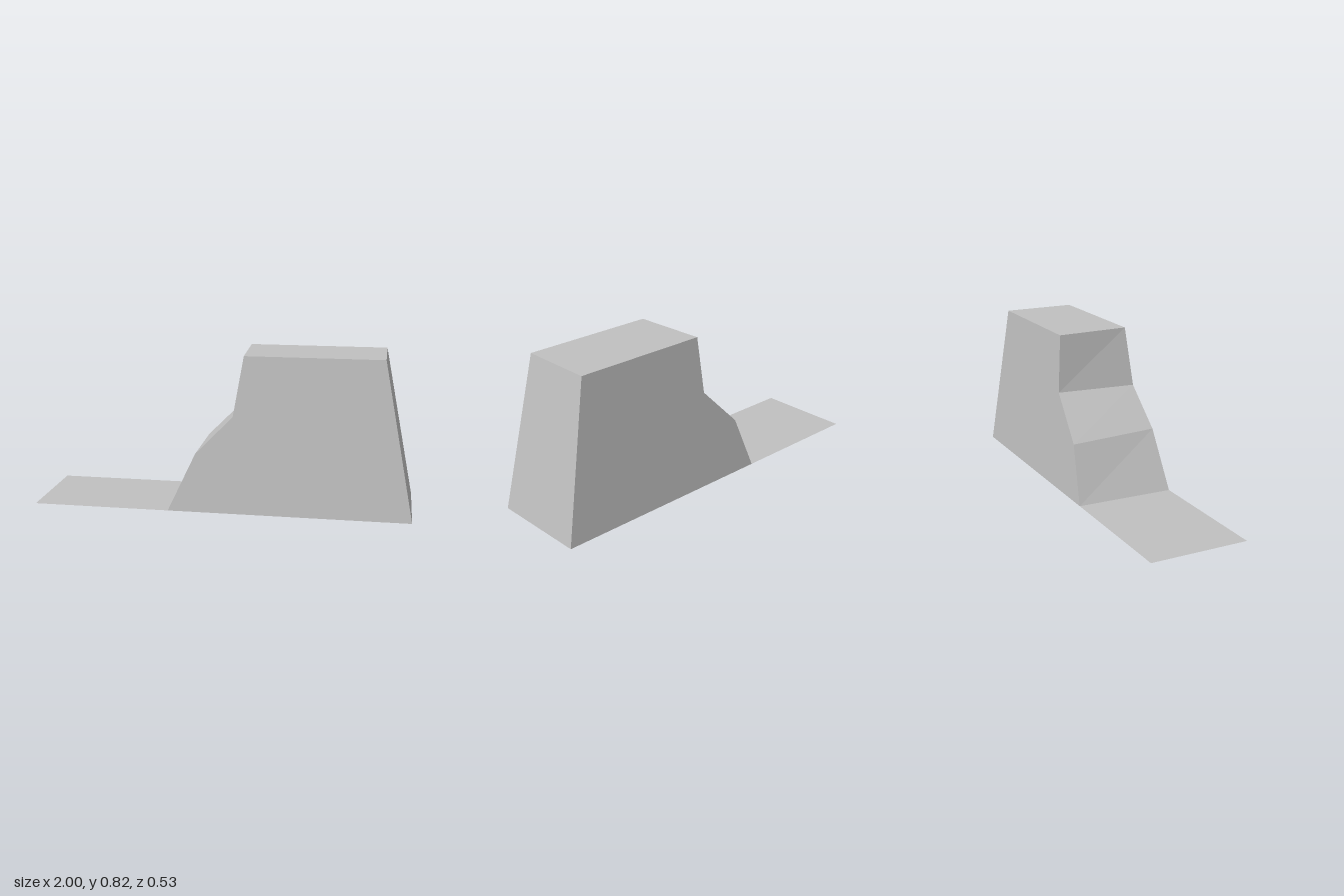
import * as THREE from 'three';

// Side outlines, counter-clockwise from the lower +x corner (x, y)
const frontOutline = [[1, 0], [0.84, 0.825], [0.123, 0.825], [0.07, 0.51], [-0.125, 0.31], [-0.27, 0]];
const backOutline = [[1, 0], [0.84, 0.825], [0.107, 0.825], [0.08, 0.52], [-0.139, 0.298], [-0.255, 0]];

// Sides lean inwards with height
const halfDepth = (y) => 0.2635 - 0.0655 * (y / 0.825);

function facesMesh(name, triangles, material) {
  const geometry = new THREE.BufferGeometry().setFromPoints(triangles);
  geometry.computeVertexNormals();
  const mesh = new THREE.Mesh(geometry, material);
  mesh.name = name;
  return mesh;
}

const quad = (a, b, c, d) => [a, b, c, a, c, d];

export function createModel() {
  const group = new THREE.Group();
  group.name = 'steppedBlock';
  const grey = new THREE.MeshStandardMaterial({ color: 0xc0c0c0, side: THREE.DoubleSide });
  grey.name = 'light grey';

  const front = frontOutline.map(([x, y]) => new THREE.Vector3(x, y, halfDepth(y)));
  const back = backOutline.map(([x, y]) => new THREE.Vector3(x, y, -halfDepth(y)));

  // Front and back walls
  const wall = (points) => THREE.ShapeUtils.triangulateShape(
    points.map((p) => new THREE.Vector2(p.x, p.y)), []).flat().map((i) => points[i]);
  group.add(facesMesh('frontWall', wall(front), grey));
  group.add(facesMesh('backWall', wall(back).reverse(), grey));

  // End, roof and stepped slope; the underside stays open
  const names = ['endWall', 'roof', 'upperSlope', 'middleSlope', 'lowerSlope'];
  names.forEach((name, i) => {
    group.add(facesMesh(name, quad(front[i], front[i + 1], back[i + 1], back[i]).reverse(), grey));
  });

  // Flat apron on the ground
  const z = halfDepth(0);
  group.add(facesMesh('apron', quad(
    new THREE.Vector3(-1, 0, z), front[5], back[5], new THREE.Vector3(-1, 0, -z)), grey));
  return group;
}
